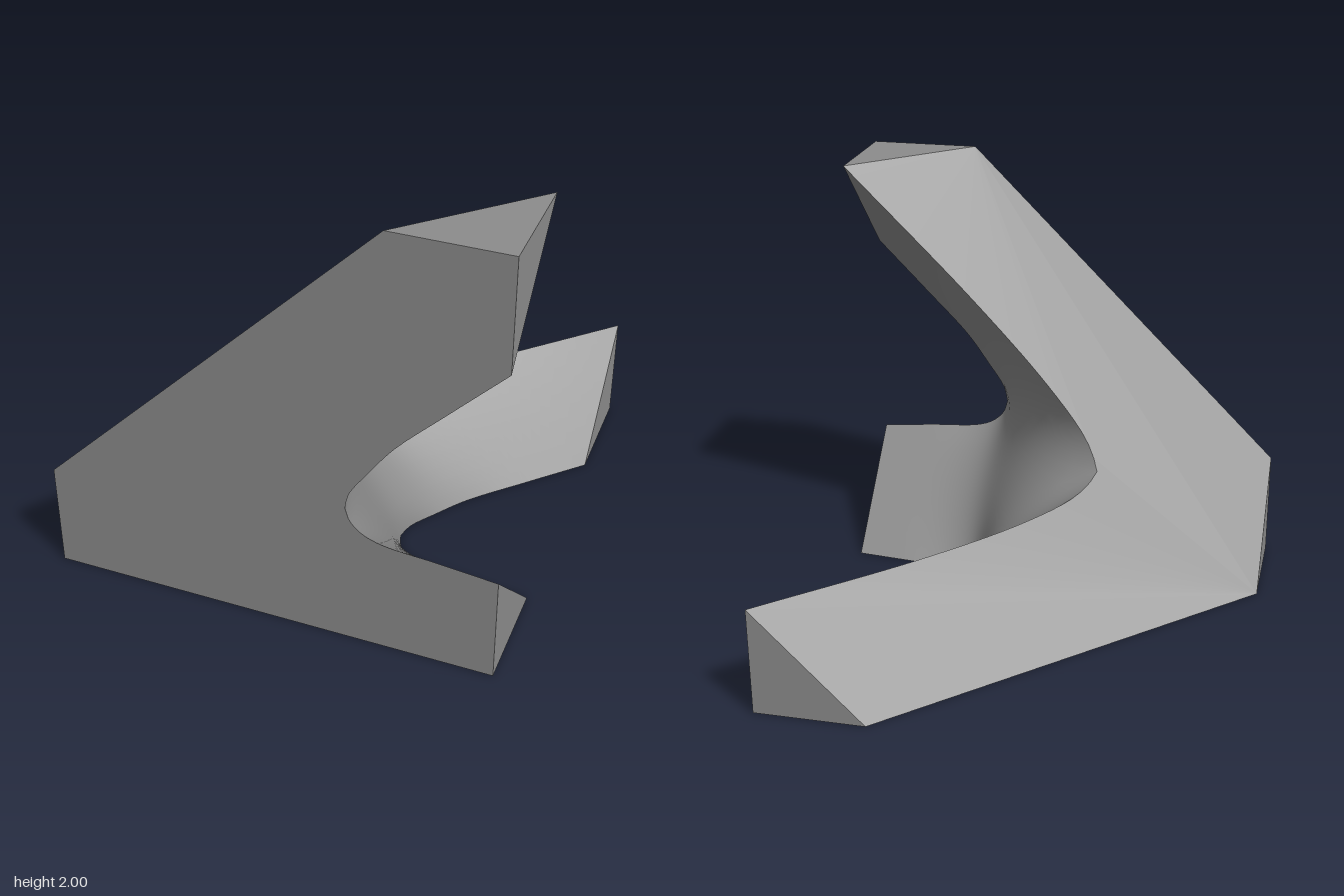
import * as THREE from 'three';

// Work in (x, y, depth), where depth runs backwards from the front plane z = 1.
const P = (x, y, d) => new THREE.Vector3(x, y, 1 - d);
const N = 28; // steps along each arm
const M = 10; // steps across each arm

const smooth = (pts) => new THREE.CatmullRomCurve3(pts, false, 'centripetal').getSpacedPoints(N);

// Flat polygon facing the given outward direction
function panel(name, pts, out, material) {
  const ax = Math.abs(out.x), ay = Math.abs(out.y), az = Math.abs(out.z);
  const flat = pts.map((p) =>
    az >= ax && az >= ay ? new THREE.Vector2(p.x, p.y)
      : ay >= ax ? new THREE.Vector2(p.x, p.z) : new THREE.Vector2(p.y, p.z));
  const pos = [];
  const ab = new THREE.Vector3(), ac = new THREE.Vector3();
  for (const [i, j, k] of THREE.ShapeUtils.triangulateShape(flat, [])) {
    const a = pts[i];
    let b = pts[j], c = pts[k];
    if (ab.subVectors(b, a).cross(ac.subVectors(c, a)).dot(out) < 0) [b, c] = [c, b];
    for (const v of [a, b, c]) pos.push(v.x, v.y, v.z);
  }
  const g = new THREE.BufferGeometry();
  g.setAttribute('position', new THREE.Float32BufferAttribute(pos, 3));
  g.computeVertexNormals();
  const mesh = new THREE.Mesh(g, material);
  mesh.name = name;
  return mesh;
}

// Smooth three-armed skin: ruled strips plus a centre triangle, relaxed with a fixed rim
function saddleGeometry(arms, centre) {
  const verts = [], index = [], ids = new Map();
  const add = (v) => {
    const key = [v.x, v.y, v.z].map((n) => Math.round(n * 1e5)).join();
    if (!ids.has(key)) { ids.set(key, verts.length); verts.push(v.clone()); }
    return ids.get(key);
  };
  for (const [from, to] of arms) {
    const at = (i, j) => add(from[i].clone().lerp(to[i], j / M));
    for (let i = 0; i < N; i++) for (let j = 0; j < M; j++) {
      const a = at(i, j), b = at(i, j + 1), c = at(i + 1, j + 1), d = at(i + 1, j);
      index.push(a, b, c, a, c, d);
    }
  }
  const [F, B, S] = centre;
  const tri = (i, j) => add(new THREE.Vector3()
    .addScaledVector(F, (M - i - j) / M).addScaledVector(B, i / M).addScaledVector(S, j / M));
  for (let i = 0; i < M; i++) for (let j = 0; j < M - i; j++) {
    index.push(tri(i, j), tri(i + 1, j), tri(i, j + 1));
    if (i + j < M - 1) index.push(tri(i + 1, j), tri(i + 1, j + 1), tri(i, j + 1));
  }

  // Edges used once form the rim
  const near = verts.map(() => new Map());
  for (let t = 0; t < index.length; t += 3) for (let e = 0; e < 3; e++) {
    const a = index[t + e], b = index[t + (e + 1) % 3];
    near[a].set(b, (near[a].get(b) || 0) + 1);
    near[b].set(a, (near[b].get(a) || 0) + 1);
  }
  const free = near.map((m) => ![...m.values()].includes(1));
  const links = near.map((m) => [...m.keys()]);
  for (let pass = 0; pass < 250; pass++) {
    verts.forEach((v, i) => {
      if (!free[i]) return;
      v.set(0, 0, 0);
      for (const n of links[i]) v.add(verts[n]);
      v.divideScalar(links[i].length);
    });
  }
  const g = new THREE.BufferGeometry().setFromPoints(verts);
  g.setIndex(index);
  g.computeVertexNormals();
  return g;
}

export function createModel() {
  const group = new THREE.Group();
  group.name = 'threeArmedBlock';
  const grey = new THREE.MeshStandardMaterial({ color: 0x8c8c8c });
  grey.name = 'grey';

  // Rim halves, each from an arm tip to the rim's innermost point
  const low = [[1, 0.5], [0.75, 0.525], [0.5, 0.548], [0.42, 0.58], [0.37, 0.63], [0.35, 0.69]];
  const high = [[1, 1.5], [0.77, 1.265], [0.55, 1.035], [0.45, 0.895], [0.366, 0.765], [0.35, 0.69]];
  const slant = [[0.5, 2], [0.5, 1.4], [0.522, 1.03], [0.56, 0.8], [0.595, 0.705], [0.635, 0.635]];
  const frontLow = smooth(low.map(([x, v]) => P(x, v, 0)));
  const frontHigh = smooth(high.map(([x, v]) => P(x, v, 0)));
  const baseLow = smooth(low.map(([x, v]) => P(x, 0, v)));
  const baseHigh = smooth(high.map(([x, v]) => P(x, 0, v)));
  const slantUp = smooth(slant.map(([d, y]) => P(d + y - 1.5, y, d)));
  const slantBack = smooth(slant.map(([d, y]) => P(d + y - 1.5, d, y)));
  const join = (a, b) => [...a, ...b.slice(0, -1).reverse()];

  // Three broad outer faces
  const V = (x, y, z) => new THREE.Vector3(x, y, z);
  group.add(
    panel('frontFace', [P(-1, 0, 0), P(1, 0, 0), ...join(frontLow, frontHigh),
      P(1, 2, 0), P(0.5, 2, 0), P(-1, 0.5, 0)], V(0, 0, 1), grey),
    panel('baseFace', [P(-1, 0, 0), P(1, 0, 0), ...join(baseLow, baseHigh),
      P(1, 0, 2), P(0.5, 0, 2), P(-1, 0, 0.5)], V(0, -1, 0), grey),
    panel('slantedFace', [P(-1, 0.5, 0), P(0.5, 2, 0), ...join(slantUp, slantBack),
      P(0.5, 0, 2), P(-1, 0, 0.5)], V(-1, 1, -1), grey),
  );

  // Small triangular faces at the corner and the arm ends
  const ends = [
    ['cornerEnd', [P(-1, 0, 0), P(-1, 0.5, 0), P(-1, 0, 0.5)], V(-1, 0, 0)],
    ['upperArmTop', [P(0.5, 2, 0), P(1, 2, 0), P(1, 2, 0.5)], V(0, 1, 0)],
    ['upperArmSide', [P(1, 1.5, 0), P(1, 2, 0), P(1, 2, 0.5)], V(1, 0, 0)],
    ['rearArmBack', [P(0.5, 0, 2), P(1, 0, 2), P(1, 0.5, 2)], V(0, 0, -1)],
    ['rearArmSide', [P(1, 0, 1.5), P(1, 0, 2), P(1, 0.5, 2)], V(1, 0, 0)],
    ['sideArmEnd', [P(1, 0, 0), P(1, 0.5, 0), P(1, 0, 0.5)], V(1, 0, 0)],
  ];
  for (const [name, pts, out] of ends) group.add(panel(name, pts, out, grey));

  // Curved inner skin between the arms
  const inner = new THREE.Mesh(saddleGeometry(
    [[frontLow, baseLow], [baseHigh, slantBack], [slantUp, frontHigh]],
    [frontLow[N], baseLow[N], slantUp[N]]), grey);
  inner.name = 'innerSaddle';
  group.add(inner);
  return group;
}
